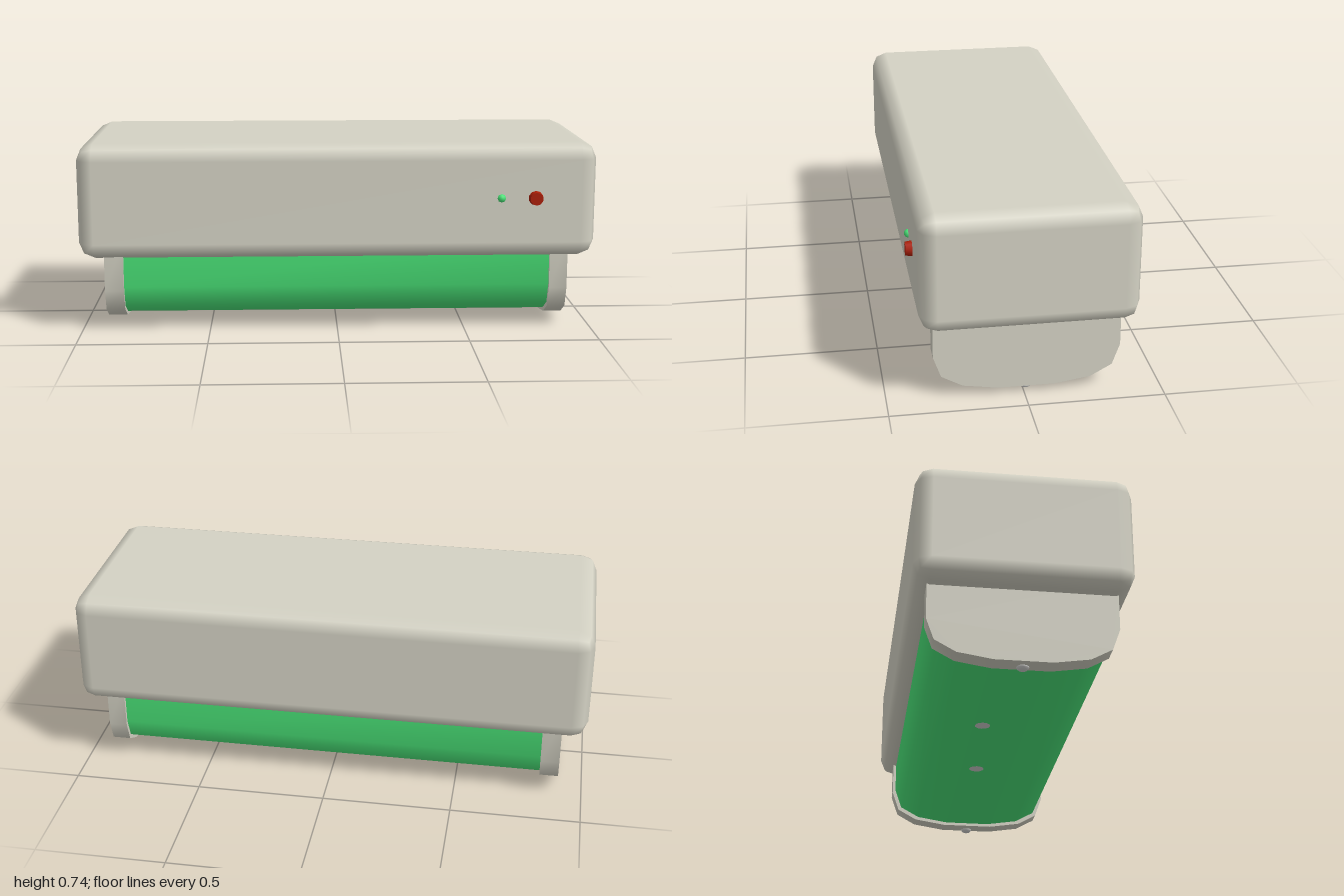
import * as THREE from 'three';
import { toCreasedNormals } from 'three/addons/utils/BufferGeometryUtils.js';
import { RoundedBoxGeometry } from 'three/addons/geometries/RoundedBoxGeometry.js';

const MID_Z = -0.011;

const mat = (name, color) => {
  const m = new THREE.MeshStandardMaterial({ color });
  m.name = name;
  return m;
};

// Half of the rounded cradle profile: [half depth, height]
const PROFILE = [[0.341, 0.36], [0.341, 0.165], [0.3125, 0.085], [0.2345, 0.042], [0.105, 0.022]];

// Cradle profile swept along x, shrunk by inset
function cradle(x0, x1, inset) {
  const half = PROFILE.map(([d, y], i) => [d - inset, i ? y + inset : y]);
  const mirrored = half.map(([d, y]) => [-d, y]).reverse();
  const shape = new THREE.Shape([...half, ...mirrored].map(([d, y]) => new THREE.Vector2(d, y)));
  const geo = new THREE.ExtrudeGeometry(shape, { depth: x1 - x0, bevelEnabled: false });
  geo.rotateY(Math.PI / 2).translate(x0, 0, MID_Z);
  return toCreasedNormals(geo, 0.9);
}

export function createModel() {
  const group = new THREE.Group();
  const casing = mat('warm grey casing', 0xd4d2c4);
  const green = mat('green', 0x4ae478);
  const red = mat('button red', 0xaa1e06);
  const steel = mat('screw grey', 0xcfcfcd);

  const add = (name, geo, material, x = 0, y = 0, z = 0) => {
    const mesh = new THREE.Mesh(geo, material);
    mesh.name = name;
    mesh.position.set(x, y, z);
    group.add(mesh);
    return mesh;
  };

  // Main housing with softened edges
  add('housing', new RoundedBoxGeometry(2, 0.445, 0.788, 1, 0.062), casing, 0, 0.5195, MID_Z);

  // Curved green underside between two end plates
  add('greenTray', cradle(-0.832, 0.832, 0.012), green);
  add('leftEndPlate', cradle(0.83, 0.9, 0), casing);
  add('rightEndPlate', cradle(-0.905, -0.832, 0), casing);

  // Domed screw heads under the end plates, pointing down
  const dome = new THREE.SphereGeometry(0.023, 12, 4, 0, Math.PI * 2, 0, Math.PI / 2)
    .scale(1, 0.014 / 0.023, 1).rotateX(Math.PI);
  const cover = new THREE.CircleGeometry(0.023, 12).rotateX(-Math.PI / 2);
  for (const [side, x] of [['left', 0.865], ['right', -0.87]]) {
    add(side + 'Screw', dome, steel, x, 0.014, MID_Z);
    add(side + 'ScrewBack', cover, steel, x, 0.014, MID_Z);
  }

  // Flush screw heads under the tray
  const disc = new THREE.CircleGeometry(0.03, 12).rotateX(Math.PI / 2);
  for (const [x, z] of [[0.15, -0.05], [-0.3, -0.08]]) {
    add('trayScrew', disc, steel, x, 0.033, z);
  }

  // Push button and indicator lamp on the front
  const button = new THREE.CylinderGeometry(0.025, 0.031, 0.04, 10).rotateX(Math.PI / 2);
  add('button', button, red, 0.76, 0.533, 0.387);
  const lamp = new THREE.SphereGeometry(0.017, 8, 4, 0, Math.PI * 2, 0, Math.PI / 2).rotateX(Math.PI / 2);
  add('indicatorLamp', lamp, green, 0.628, 0.533, 0.381);

  return group;
}
